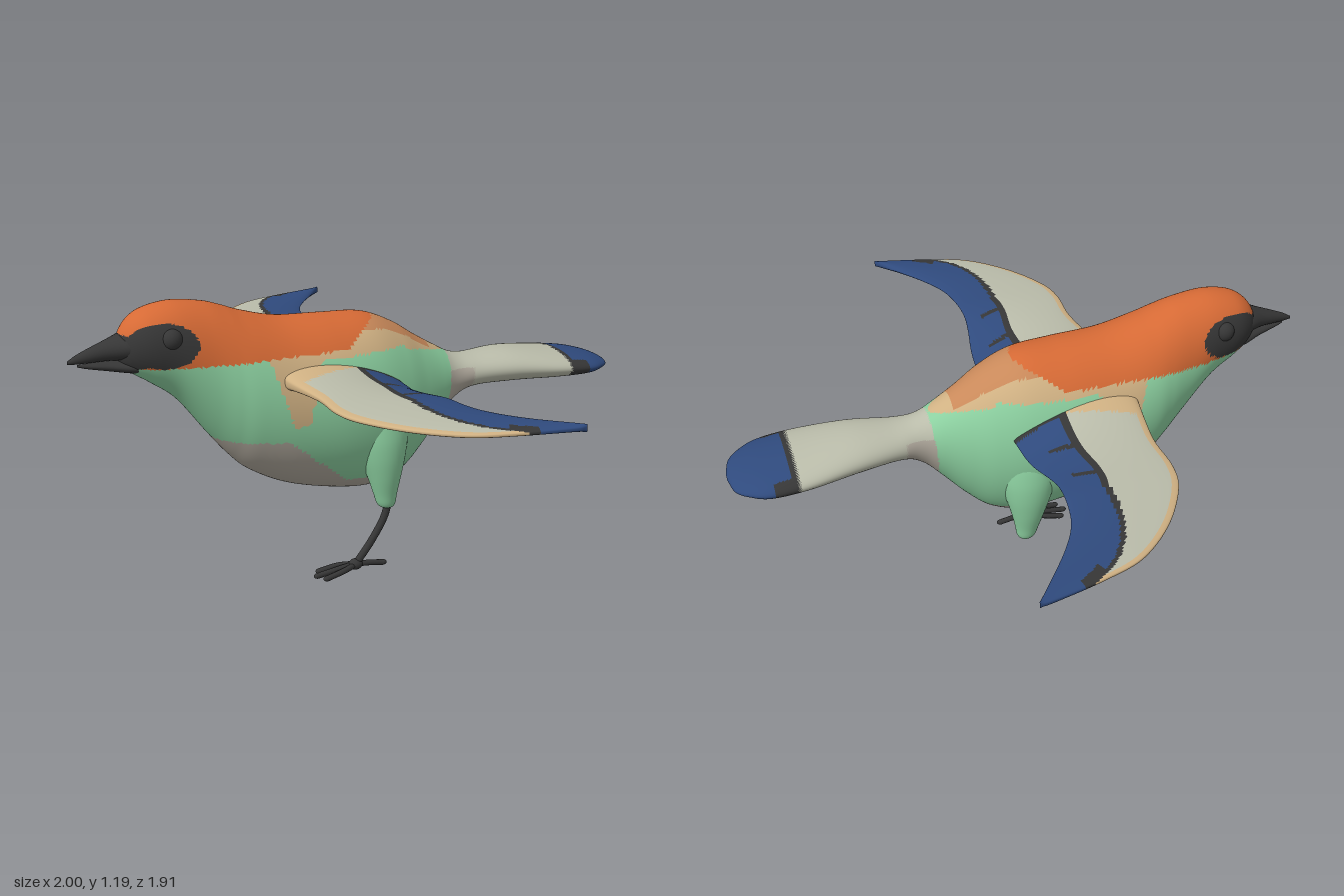
import * as THREE from 'three';

const mat = (name, color) => Object.assign(new THREE.MeshStandardMaterial({ color }), { name });
const MATS = [
  mat('orange', 0xd66a35), mat('brown', 0xc9895a), mat('tan', 0xd0b183), mat('green', 0x8cd0a0),
  mat('paleGrey', 0xbabcaa), mat('bellyGrey', 0xaea79b), mat('blue', 0x2f4a7d), mat('charcoal', 0x363636),
];
const [ORANGE, BROWN, TAN, GREEN, GREY, BELLY, BLUE, BLACK] = MATS.keys();

// Smooth tube-like surface, closed in v, with a material chosen per face
function paintedLoft(name, nu, nv, point, paint, flip = false) {
  const pos = [], buckets = MATS.map(() => []);
  const at = (i, j) => i * nv + (j % nv);
  for (let i = 0; i <= nu; i++) for (let j = 0; j < nv; j++) pos.push(...point(i / nu, j / nv));
  const vert = k => new THREE.Vector3().fromArray(pos, k * 3);
  const tri = (a, b, c, u, v) => {
    const mid = vert(a).add(vert(b)).add(vert(c)).divideScalar(3);
    buckets[paint(mid, u, v)].push(a, ...(flip ? [c, b] : [b, c]));
  };
  for (let i = 0; i < nu; i++) for (let j = 0; j < nv; j++) {
    const u = (i + 0.5) / nu, v = (j + 0.5) / nv;
    tri(at(i, j), at(i + 1, j), at(i + 1, j + 1), u, v);
    tri(at(i, j), at(i + 1, j + 1), at(i, j + 1), u, v);
  }
  const geo = new THREE.BufferGeometry();
  geo.setAttribute('position', new THREE.Float32BufferAttribute(pos, 3));
  geo.setIndex(buckets.flat());
  let start = 0;
  buckets.forEach((b, m) => {
    if (b.length) geo.addGroup(start, b.length, m);
    start += b.length;
  });
  geo.computeVertexNormals();
  const mesh = new THREE.Mesh(geo, MATS);
  mesh.name = name;
  return mesh;
}

const spline = pts => new THREE.CatmullRomCurve3(pts.map(p => new THREE.Vector3(...p)), false, 'catmullrom', 0.5);

// Oval sections [z, top, bottom, half width] from front to back
function ovalLoft(name, rows, nu, nv, paint) {
  const heights = spline(rows.map(([z, t, b]) => [z, t, b]));
  const widths = spline(rows.map(([z, , , w]) => [z, w, 0]));
  return paintedLoft(name, nu, nv, (u, v) => {
    const h = heights.getPoint(u), w = Math.max(widths.getPoint(u).y, 0.001), a = v * Math.PI * 2;
    return [w * Math.cos(a), (h.y + h.z) / 2 + (h.y - h.z) / 2 * Math.sin(a), h.x];
  }, paint);
}

const BODY = [
  [1.10, 1.05, 0.98, 0.03], [1.08, 1.10, 0.95, 0.065], [1.04, 1.145, 0.92, 0.105], [0.98, 1.175, 0.88, 0.135],
  [0.88, 1.19, 0.80, 0.155], [0.76, 1.175, 0.64, 0.18], [0.68, 1.15, 0.54, 0.205], [0.6, 1.12, 0.465, 0.23],
  [0.45, 1.082, 0.385, 0.252], [0.25, 1.07, 0.33, 0.265], [0.08, 1.058, 0.31, 0.25], [-0.05, 1.005, 0.345, 0.215],
  [-0.15, 0.94, 0.43, 0.17], [-0.25, 0.88, 0.545, 0.125], [-0.33, 0.838, 0.63, 0.1], [-0.42, 0.822, 0.675, 0.11],
  [-0.6, 0.825, 0.68, 0.15], [-0.8, 0.80, 0.675, 0.185], [-0.95, 0.775, 0.675, 0.185],
  [-1.03, 0.755, 0.685, 0.15], [-1.08, 0.735, 0.695, 0.1], [-1.1, 0.717, 0.712, 0.02],
];

// Plumage regions of the body and tail
function bodyPaint({ x, y, z }) {
  const ax = Math.abs(x);
  // tail
  if (z < -0.845) return z > -0.865 || (ax > 0.15 && z > -0.94) ? BLACK : BLUE;
  if (z < -0.3 + (0.9 - y) * 0.1) return z > -0.4 && y < 0.78 ? BELLY : GREY;
  // face mask
  const eyePatch = ((z - 0.95) / 0.13) ** 2 + ((y - 1.045) / 0.085) ** 2 < 1;
  if (eyePatch || (z > 0.95 && y < 1.085 && y > 0.975 - Math.max(0, z - 0.98) * 0.3)) return BLACK;
  // cap and back
  if (y > 0.96 && z > 0.05 + 5 * x * x) return ORANGE;
  if (z > -0.2 && z < 0.3 && ax < 0.105 + z * 0.2 && y > 0.88) return BROWN;
  if (z < 0.5 && y > (z > -0.05 ? 0.935 : 0.93 + z * 0.25)) return TAN;
  // shoulder patch, belly and flanks
  if (ax > 0.12 && y > 0.69 && y < 0.97 && Math.abs(z - 0.455) < 0.03 + (y - 0.69) * 0.28) return TAN;
  if (y < Math.max(0.4, 0.63 - Math.max(0, 0.5 - z) * 0.85) && z > -0.17 && ax < 0.245) return BELLY;
  return GREEN;
}

// Wing outline [sideways, forward], root to tip
const LEAD = spline([[0.1, 0.53, 0], [0.23, 0.514, 0], [0.46, 0.48, 0], [0.631, 0.484, 0], [0.759, 0.452, 0],
  [0.926, 0.341, 0], [1.06, 0.188, 0], [1.12, 0.024, 0], [1.165, -0.17, 0], [1.17, -0.225, 0]]);
const TRAIL = spline([[0.1, 0, 0], [0.22, 0, 0], [0.4, 0.013, 0], [0.53, 0.035, 0], [0.62, 0.043, 0],
  [0.75, 0.03, 0], [0.845, 0.002, 0], [0.95, -0.06, 0], [1.08, -0.16, 0], [1.165, -0.228, 0]]);

function wing(name, side) {
  const chord = v => (v < 0.5 ? v * 2 : 2 - v * 2);
  const ease = c => (1 - Math.cos(Math.PI * c)) / 2;
  const point = (u, v) => {
    const c = ease(chord(v));
    const p = LEAD.getPoint(u).lerp(TRAIL.getPoint(u), c);
    const root = 0.1 * Math.exp(-(p.x - 0.1) / 0.13) * (1 - 0.4 * c);
    const thick = (0.024 * (1 - 0.4 * u) + root) * (Math.sin(Math.PI * c) + 1e-6) ** (0.32 + 0.3 * c);
    const droop = 0.075 * c * c * (1 - THREE.MathUtils.smoothstep(p.x, 0.3, 0.7));
    return [side * p.x, 0.872 - droop + (v < 0.5 ? thick : -thick), p.y];
  };
  const paint = (p, u, v) => {
    const c = ease(chord(v)), ax = Math.abs(p.x);
    const edge = 0.6 * (1 - Math.max(0, (u - 0.42) / 0.38) ** 1.4);
    if (c > edge && ax > 0.21) {
      // dark border with a few streaks running into the blue
      const streak = [0.41, 0.6].some(s => Math.abs(ax - s + (c - edge) * 0.12) < 0.012);
      const depth = streak || u > 0.76 ? 0.24 : 0.065;
      return (c < edge + depth && u < 0.82) || ax < 0.24 ? BLACK : BLUE;
    }
    return c < 0.055 || ax < 0.33 - c * 0.17 ? TAN : GREY;
  };
  return paintedLoft(name, 100, 100, point, paint, side < 0);
}

// Thigh feathers: a cone that spreads into the flank
function thigh(name, side) {
  const path = spline([[0.195, 0.265, 0.002], [0.195, 0.268, 0.024], [0.195, 0.285, 0.037], [0.195, 0.33, 0.046],
    [0.193, 0.41, 0.064], [0.18, 0.5, 0.086], [0.158, 0.59, 0.102], [0.125, 0.69, 0.105], [0.08, 0.78, 0.08]]);
  return paintedLoft(name, 40, 32, (u, v) => {
    const p = path.getPoint(u), a = v * Math.PI * 2;
    return [side * p.x + p.z * Math.cos(a), p.y, 0.058 + u * 0.03 + p.z * (1 + 0.3 * u) * Math.sin(a)];
  }, () => GREEN);
}

function tube(name, pts, radius) {
  const m = new THREE.Mesh(new THREE.TubeGeometry(spline(pts), 16, radius, 10), MATS[BLACK]);
  m.name = name;
  return m;
}

function ball(name, r, x, y, z, sz = 1) {
  const m = new THREE.Mesh(new THREE.SphereGeometry(r, 24, 16), MATS[BLACK]);
  m.name = name;
  m.position.set(x, y, z);
  m.scale.z = sz;
  return m;
}

export function createModel() {
  const model = new THREE.Group();
  model.name = 'bird';
  const bird = new THREE.Group();
  bird.name = 'turnedBird';
  bird.position.set(-0.054, 0, -0.044);
  bird.rotation.y = -0.682;
  model.add(bird);

  bird.add(ovalLoft('bodyAndTail', BODY, 210, 120, bodyPaint));

  // Beak halves with a small gap
  bird.add(ovalLoft('upperBeak', [[1.285, 1.0, 0.988, 0.004], [1.24, 1.025, 0.985, 0.018], [1.14, 1.064, 0.986, 0.045],
    [1.06, 1.09, 0.982, 0.085], [1.0, 1.085, 0.98, 0.1]], 20, 24, () => BLACK));
  bird.add(ovalLoft('lowerBeak', [[1.25, 0.982, 0.974, 0.004], [1.21, 0.983, 0.962, 0.016], [1.13, 0.985, 0.945, 0.04],
    [1.05, 0.987, 0.93, 0.075], [1.0, 0.987, 0.93, 0.08]], 20, 24, () => BLACK));

  // Paired parts
  for (const [side, label] of [[1, 'left'], [-1, 'right']]) {
    bird.add(wing(label + 'Wing', side));
    bird.add(ball(label + 'Eye', 0.043, side * 0.116, 1.068, 0.916));
    bird.add(thigh(label + 'Thigh', side));
  }

  // The single standing leg; the other is tucked up
  const foot = new THREE.Group();
  foot.name = 'leftLeg';
  foot.add(tube('shank', [[0.195, 0.31, 0.05], [0.195, 0.22, 0.075], [0.193, 0.12, 0.135], [0.19, 0.035, 0.2]], 0.016));
  foot.add(ball('ankle', 0.024, 0.19, 0.03, 0.205, 1.3));
  for (const spread of [-1, 0, 1]) {
    const x = 0.19 + spread * 0.04, z = spread ? 0.35 : 0.375;
    foot.add(tube('frontToe', [[0.19, 0.03, 0.2], [0.19 + spread * 0.03, 0.025, 0.27], [x, 0.012, z]], 0.012));
    foot.add(ball('claw', 0.012, x, 0.012, z, 1.6));
  }
  foot.add(tube('backToe', [[0.19, 0.03, 0.2], [0.19, 0.023, 0.14], [0.19, 0.012, 0.08]], 0.012));
  foot.add(ball('backClaw', 0.012, 0.19, 0.012, 0.08, 1.6));
  bird.add(foot);
  return model;
}
